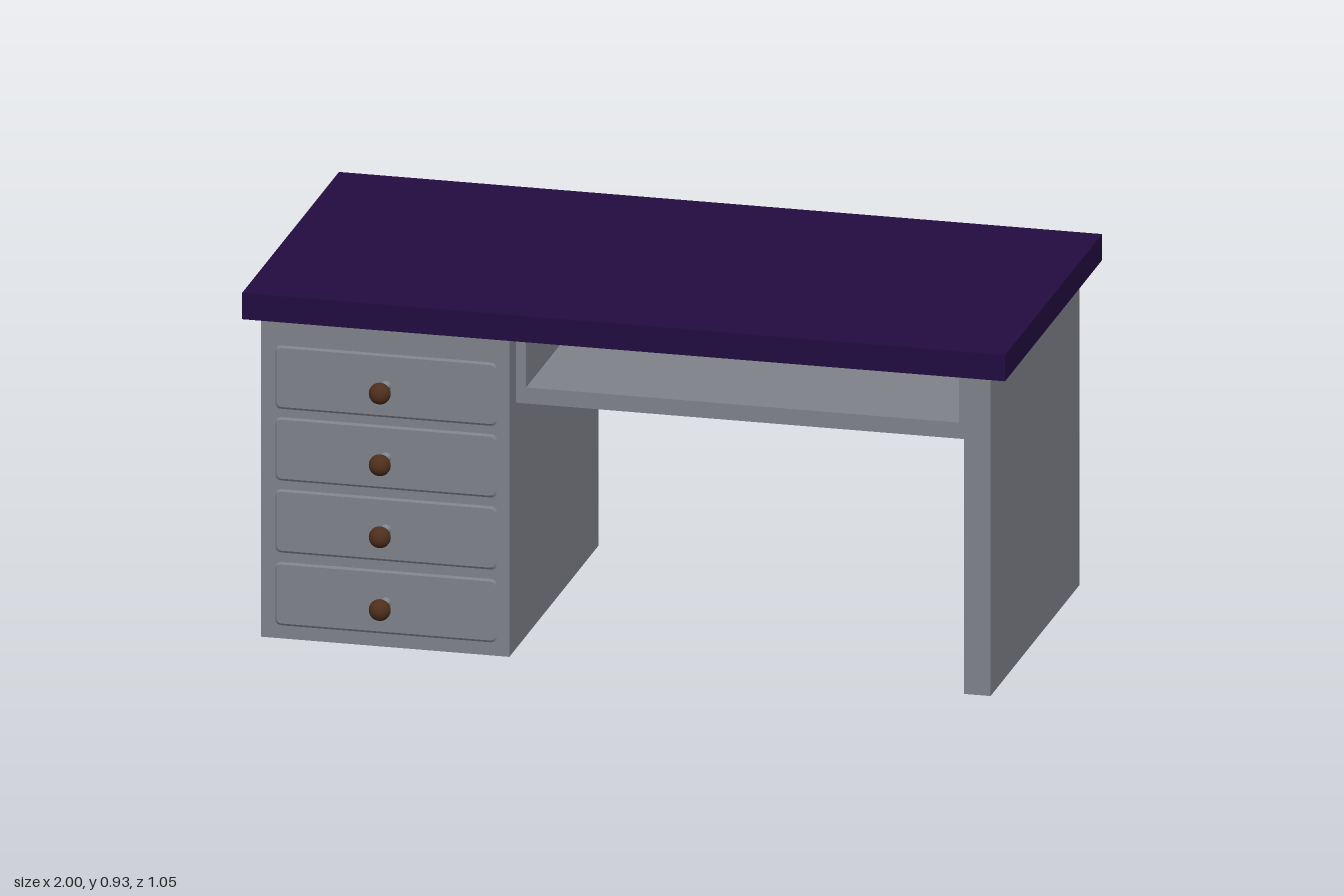
import * as THREE from 'three';

export function createModel() {
  const desk = new THREE.Group();
  desk.name = 'desk';
  const material = (name, color) => {
    const m = new THREE.MeshStandardMaterial({ color });
    m.name = name;
    return m;
  };
  const grey = material('grey paint', 0x80828b);
  const purple = material('dark purple', 0x220c40);
  const brown = material('brown wood', 0x4e2f1c);

  const add = (parent, name, geometry, mat) => {
    const mesh = new THREE.Mesh(geometry, mat);
    mesh.name = name;
    parent.add(mesh);
    return mesh;
  };
  // Box given by its minimum and maximum corners
  const box = (parent, name, mat, [x0, y0, z0], [x1, y1, z1]) => {
    const mesh = add(parent, name, new THREE.BoxGeometry(x1 - x0, y1 - y0, z1 - z0), mat);
    mesh.position.set((x0 + x1) / 2, (y0 + y1) / 2, (z0 + z1) / 2);
    return mesh;
  };

  // Main slabs
  const back = -0.481, front = 0.434, top = 0.855;
  box(desk, 'tabletop', purple, [-1, 0.86, -0.523], [1, 0.93, 0.473]);
  box(desk, 'drawerCabinet', grey, [-0.96, 0, back], [-0.309, top, front]);
  box(desk, 'sidePanel', grey, [0.882, 0, back], [0.952, top, front]);

  // Open-fronted shelf tray hanging under the top
  const shelf = new THREE.Group();
  shelf.name = 'shelf';
  desk.add(shelf);
  const shelfFront = 0.38;
  box(shelf, 'shelfFloor', grey, [-0.305, 0.664, back], [0.882, 0.707, shelfFront]);
  box(shelf, 'shelfLeftWall', grey, [0.856, 0.707, back], [0.882, top, shelfFront]);
  box(shelf, 'shelfRightWall', grey, [-0.305, 0.707, back], [-0.279, top, shelfFront]);
  box(shelf, 'shelfBack', grey, [-0.279, 0.707, back], [0.856, top, back + 0.026]);

  // Drawer front: rounded rectangle with a shallow bevel
  const w = 0.285, h = 0.079, r = 0.012;
  const outline = new THREE.Shape();
  outline.moveTo(-w + r, -h);
  outline.lineTo(w - r, -h);
  outline.quadraticCurveTo(w, -h, w, -h + r);
  outline.lineTo(w, h - r);
  outline.quadraticCurveTo(w, h, w - r, h);
  outline.lineTo(-w + r, h);
  outline.quadraticCurveTo(-w, h, -w, h - r);
  outline.lineTo(-w, -h + r);
  outline.quadraticCurveTo(-w, -h, -w + r, -h);
  const drawerGeometry = new THREE.ExtrudeGeometry(outline, {
    depth: 0.001, bevelThickness: 0.004, bevelSize: 0.006, bevelSegments: 1, curveSegments: 4,
  });

  // Turned knob profiles: [radius, distance from cabinet]
  const lathe = (points) => {
    const curve = points.map(([x, y]) => new THREE.Vector2(x, y));
    return new THREE.LatheGeometry(curve, 24).rotateX(Math.PI / 2);
  };
  const stemGeometry = lathe([
    [0.015, 0], [0.014, 0.006], [0.009, 0.012], [0.007, 0.02], [0.007, 0.03],
    [0.010, 0.036], [0.017, 0.041], [0.020, 0.046], [0.019, 0.051], [0, 0.051],
  ]);
  const knobGeometry = lathe([
    [0, 0.049], [0.018, 0.049], [0.025, 0.054], [0.028, 0.062], [0.028, 0.069],
    [0.025, 0.078], [0.019, 0.085], [0.010, 0.090], [0, 0.091],
  ]);

  // Four drawers, bottom to top
  [0.12, 0.315, 0.508, 0.7].forEach((y, i) => {
    const drawer = new THREE.Group();
    drawer.name = `drawer${i + 1}`;
    drawer.position.set(-0.632, y, front);
    desk.add(drawer);
    add(drawer, 'drawerFront', drawerGeometry, grey).position.z = -0.001;
    add(drawer, 'knobStem', stemGeometry, grey);
    add(drawer, 'knob', knobGeometry, brown);
  });

  return desk;
}
